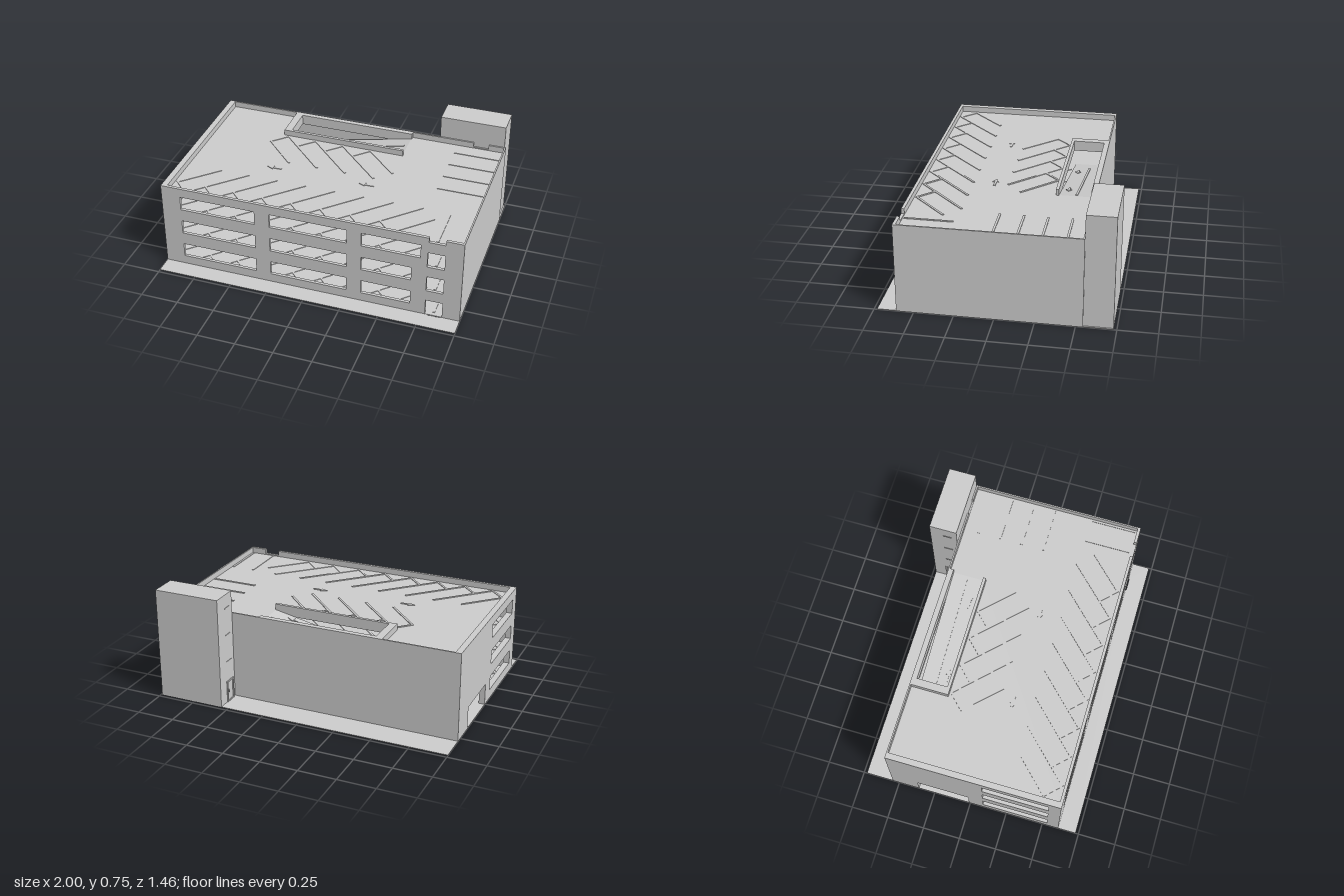
import * as THREE from 'three';

const mat = new THREE.MeshStandardMaterial({ color: 0xcccccc, flatShading: true });
const FLOOR = 0.185; // storey height
const TOP = 0.595; // parapet top
const DECKS = [0.004, FLOOR, FLOOR * 2, FLOOR * 3];

export function createModel() {
  const root = new THREE.Group();

  const add = (parent, name, geo) => {
    const m = new THREE.Mesh(geo, mat);
    m.name = name;
    parent.add(m);
    return m;
  };
  const group = (name) => {
    const g = new THREE.Group();
    g.name = name;
    root.add(g);
    return g;
  };
  const box = (parent, name, x0, x1, y0, y1, z0, z1) => {
    const m = add(parent, name, new THREE.BoxGeometry(x1 - x0, y1 - y0, z1 - z0));
    m.position.set((x0 + x1) / 2, (y0 + y1) / 2, (z0 + z1) / 2);
    return m;
  };
  const rect = (a, b, c, d) => [[a, c], [b, c], [b, d], [a, d]];
  const extrude = (outline, holes, depth) => {
    const v = (pts) => pts.map(([a, b]) => new THREE.Vector2(a, b));
    const shape = new THREE.Shape(v(outline));
    holes.forEach((h) => shape.holes.push(new THREE.Path(v(h))));
    return new THREE.ExtrudeGeometry(shape, { depth, bevelEnabled: false });
  };
  // Horizontal slab; outlines are given in x and -z
  const slab = (parent, name, outline, holes, y, depth) => {
    const m = add(parent, name, extrude(outline, holes, depth));
    m.rotation.x = -Math.PI / 2;
    m.position.y = y;
    return m;
  };

  // Ground sheet, with the slot at the foot of the front door
  slab(root, 'ground', rect(-1, 1, -0.73, 0.73), [rect(0.79, 0.88, -0.615, -0.6)], 0, 0.004);

  // Front wall: three rows of windows, a column of small openings, a parapet gap
  const rows = [0.065, 0.25, 0.435];
  const frontHoles = [];
  rows.forEach((y, i) => {
    const top = y + 0.097;
    frontHoles.push(rect(-0.87, -0.36, y, top), rect(-0.26, 0.255, y, top));
    frontHoles.push(rect(0.35, i === 2 ? 0.73 : 0.675, y, top));
    frontHoles.push(rect(0.775, 0.885, 0.006 + i * FLOOR, 0.115 + i * FLOOR));
  });
  const front = add(root, 'frontWall', extrude(
    [[-1, 0], [1, 0], [1, TOP], [0.885, TOP], [0.885, 0.563], [0.78, 0.563], [0.78, TOP], [-1, TOP]],
    frontHoles, 0.02));
  front.position.z = 0.59;

  // Entrance side wall: vehicle entrance and three windows
  const side = add(root, 'entranceWall', extrude(
    [[-0.545, 0], [-0.36, 0], [-0.36, 0.15], [-0.01, 0.15], [-0.01, 0], [0.59, 0], [0.59, TOP], [-0.545, TOP]],
    rows.map((y) => rect(0.09, 0.53, y, y + 0.097)), 0.04));
  side.rotation.y = -Math.PI / 2;
  side.position.x = -0.96;

  // Plain walls
  box(root, 'blindSideWall', 0.99, 1, 0, TOP, -0.545, 0.59);
  const back = add(root, 'backWall', extrude(
    [[-0.96, 0], [0.99, 0], [0.99, TOP], [0.885, TOP], [0.885, 0.563], [0.78, 0.563], [0.78, TOP], [-0.96, TOP]],
    [], 0.01));
  back.position.z = -0.545;

  // Upper decks with the ramp opening
  DECKS.slice(1).forEach((y) => {
    slab(root, 'deck', rect(-0.96, 0.99, -0.59, 0.535), [rect(-0.44, 0.35, 0.305, 0.51)], y - 0.03, 0.03);
  });

  // Ramps between decks
  const slope = Math.atan2(FLOOR, 0.91);
  for (let i = 0; i < 3; i++) {
    const y = DECKS[i];
    const ramp = add(root, 'ramp', extrude(
      [[-0.56, y], [-0.42, y], [0.35, y + 0.155], [0.35, FLOOR * (i + 1)]], [], 0.205));
    ramp.position.z = -0.51;
  }

  // Curb walls round the roof opening
  const curb = group('rampCurb');
  const roof = DECKS[3];
  box(curb, 'curbEnd', -0.49, -0.44, roof, TOP, -0.535, -0.285);
  box(curb, 'curbFront', -0.44, 0.355, roof, TOP, -0.305, -0.285);
  box(curb, 'curbBack', -0.44, 0.355, roof, TOP, -0.535, -0.51);

  // Raised paint marks
  const stripe = (parent, x0, z0, x1, z1) => {
    const m = add(parent, 'stripe', new THREE.BoxGeometry(Math.hypot(x1 - x0, z1 - z0) + 0.012, 0.004, 0.014));
    m.position.set((x0 + x1) / 2, 0.002, (z0 + z1) / 2);
    m.rotation.y = -Math.atan2(z1 - z0, x1 - x0);
  };
  const arrowPoints = [[-0.05, -0.007], [0.01, -0.007], [0.005, -0.02], [0.05, 0], [0.005, 0.02], [0.01, 0.007], [-0.05, 0.007]];
  const arrow = (parent, x, z, turn) => {
    const pivot = new THREE.Group();
    pivot.position.set(x, 0, z);
    pivot.rotation.y = turn;
    parent.add(pivot);
    slab(pivot, 'arrow', arrowPoints, [], 0, 0.004);
  };
  DECKS.forEach((y) => {
    const paint = group('parkingMarks');
    paint.position.y = y;
    // Slanted bays along the front
    stripe(paint, -0.94, 0.48, -0.73, 0.27);
    for (let k = 0; k < 8; k++) {
      const d = k * 0.196;
      stripe(paint, -0.94 + d, 0.48, -0.845 + d, 0.575);
      const len = k < 7 ? 0.31 : 0.215;
      stripe(paint, -0.845 + d, 0.575, -0.845 + d + len, 0.575 - len);
    }
    // Slanted bays beside the ramp
    stripe(paint, -0.55, -0.18, -0.34, 0.035);
    for (let k = 0; k < 4; k++) {
      const d = k * 0.196;
      const len = k < 3 ? 0.31 : 0.215;
      stripe(paint, -0.55 + d, -0.18, -0.455 + d, -0.275);
      stripe(paint, -0.455 + d, -0.275, -0.455 + d + len, -0.275 + len);
    }
    // Straight bays at the blind side
    for (let k = 0; k < 4; k++) stripe(paint, 0.68, -0.435 + k * 0.15, 0.98, -0.435 + k * 0.15);
    stripe(paint, 0.825, 0.28, 0.825, 0.575);
    stripe(paint, 0.98, 0.28, 0.98, 0.575);
    arrow(paint, -0.405, 0.125, Math.PI);
    arrow(paint, 0.23, 0.125, Math.PI);
  });

  // Ramp centre lines and arrows
  for (let i = 0; i < 3; i++) {
    const marks = group('rampMarks');
    marks.position.set(-0.56, DECKS[i], 0);
    marks.rotation.z = slope;
    stripe(marks, 0.13, -0.415, 0.9, -0.415);
    arrow(marks, 0.25, -0.35, 0);
    arrow(marks, 0.77, -0.35, 0);
  }

  // Entrance island with ticket machine and barriers
  const gate = group('entranceGate');
  box(gate, 'island', -0.9, -0.7, 0.004, 0.018, -0.2, -0.17);
  box(gate, 'ticketBooth', -0.835, -0.765, 0.018, 0.1, -0.2, -0.17);
  box(gate, 'barrierPost', -0.722, -0.706, 0.018, 0.11, -0.193, -0.177);
  box(gate, 'barrierArm', -0.718, -0.71, 0.07, 0.08, -0.34, -0.03);

  // Stair tower with a framed door and slit windows
  const tower = group('stairTower');
  box(tower, 'towerBody', 0.545, 0.99, 0, 0.747, -0.73, -0.545);
  const frame = add(tower, 'doorFrame', extrude(rect(-0.65, -0.565, 0.004, 0.15), [rect(-0.64, -0.575, 0.004 + 0.006, 0.14)], 0.006));
  frame.rotation.y = -Math.PI / 2;
  frame.position.x = 0.545;
  box(tower, 'doorHandle', 0.54, 0.545, 0.065, 0.085, -0.63, -0.624);
  for (let i = 1; i < 4; i++) {
    box(tower, 'windowSill', 0.541, 0.545, 0.1 + i * FLOOR, 0.104 + i * FLOOR, -0.64, -0.58);
  }

  return root;
}
